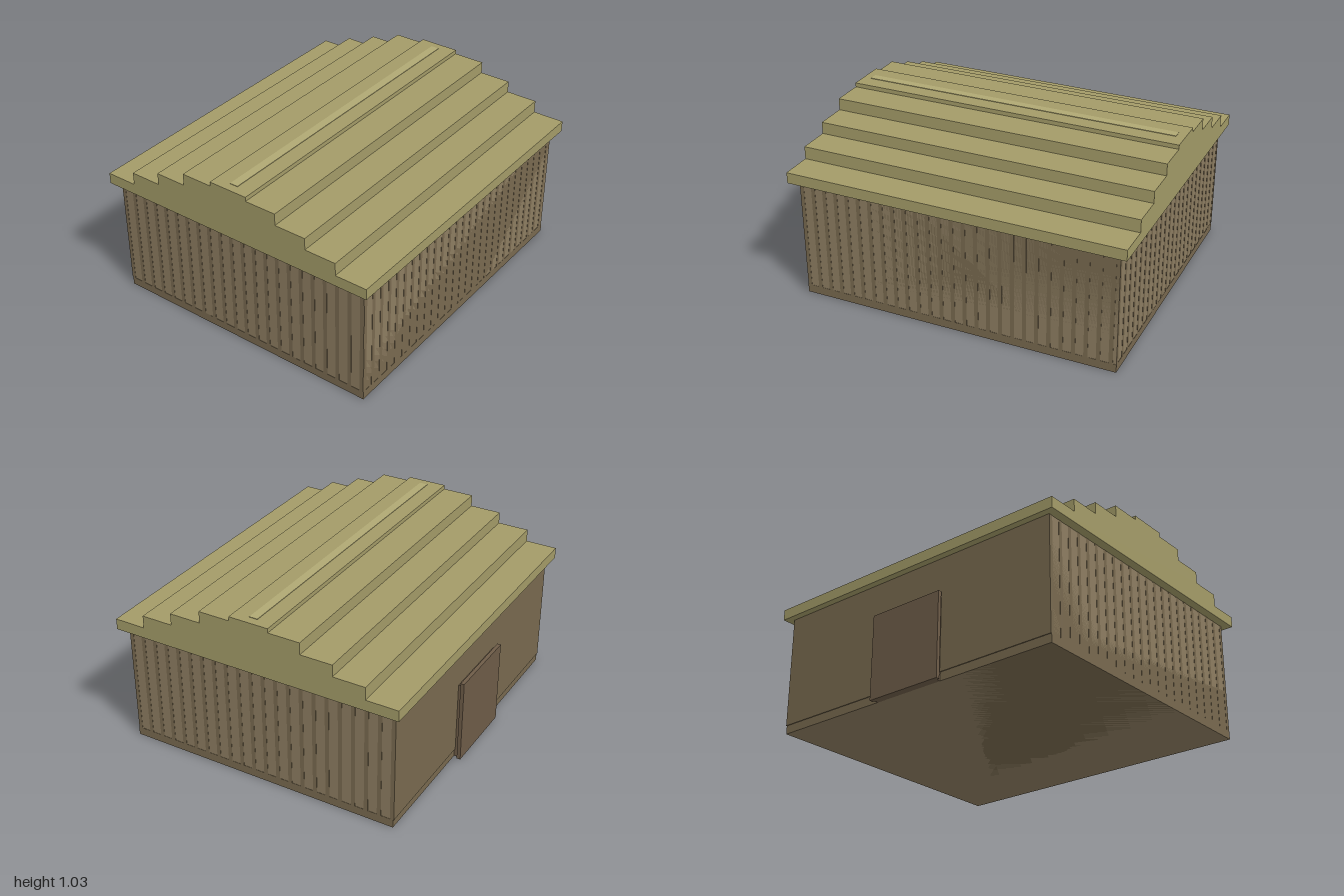
import * as THREE from 'three';

const mat = (color) => new THREE.MeshStandardMaterial({ color, flatShading: true });
const wallMat = mat(0x8d7d61);
const ribMat = mat(0x78694f);
const roofMat = mat(0xa39b68);
const ridgeMat = mat(0xb0a873);
const doorMat = mat(0x6e5c48);

function box(parent, name, material, w, h, d, x, y, z) {
  const mesh = new THREE.Mesh(new THREE.BoxGeometry(w, h, d), material);
  mesh.position.set(x, y + h / 2, z); // y is the underside
  mesh.name = name;
  parent.add(mesh);
}

export function createModel() {
  const group = new THREE.Group();
  const W = 1.9, D = 1.666, H = 0.72, base = 0.05, skin = 0.003, rib = 0.024;

  // Wall block with a darker base strip all round
  box(group, 'walls', wallMat, W, H, D, 0, 0, 0);
  box(group, 'baseStrip', ribMat, W + skin, base, D + skin, 0, 0, 0);

  // Vertical wall boards, nearly flush: each box shows on two opposite walls
  const boards = new THREE.Group();
  boards.name = 'wallBoards';
  group.add(boards);
  for (let x = -W / 2 + rib / 2; x < W / 2; x += 0.0714)
    box(boards, 'frontBackBoard', ribMat, rib, H - base, D + skin, x, base, 0);
  for (let z = D / 2 - rib / 2; z > -D / 2; z -= 0.0785)
    box(boards, 'sideBoard', ribMat, W + skin, H - base, rib, 0, base, z);

  // Stepped roof: one stair-shaped section run along x
  const steps = [[0.88, 0.785], [0.69, 0.86], [0.5, 0.93], [0.31, 1.0], [0.12, 1.025]];
  const half = [];
  steps.forEach(([z, top], i) => {
    half.push([z, i ? steps[i - 1][1] : H], [z, top]);
  });
  const outline = [...half, ...half.slice().reverse().map(([z, y]) => [-z, y])];
  const section = new THREE.Shape(outline.map(([z, y]) => new THREE.Vector2(z, y)));
  const roofGeometry = new THREE.ExtrudeGeometry(section, { depth: 2, bevelEnabled: false });
  roofGeometry.translate(0, 0, -1).rotateY(Math.PI / 2);
  const roof = new THREE.Mesh(roofGeometry, roofMat);
  roof.name = 'steppedRoof';
  group.add(roof);

  // Pale strip along the ridge
  box(group, 'ridgeStrip', ridgeMat, W, 0.02, 0.05, 0, 1.008, 0);

  // Door at the back: frame against the wall, larger leaf outside it
  box(group, 'doorFrame', doorMat, 0.45, 0.48, 0.03, 0, 0, -0.845);
  box(group, 'doorLeaf', doorMat, 0.48, 0.505, 0.022, 0, 0, -0.869);

  return group;
}
